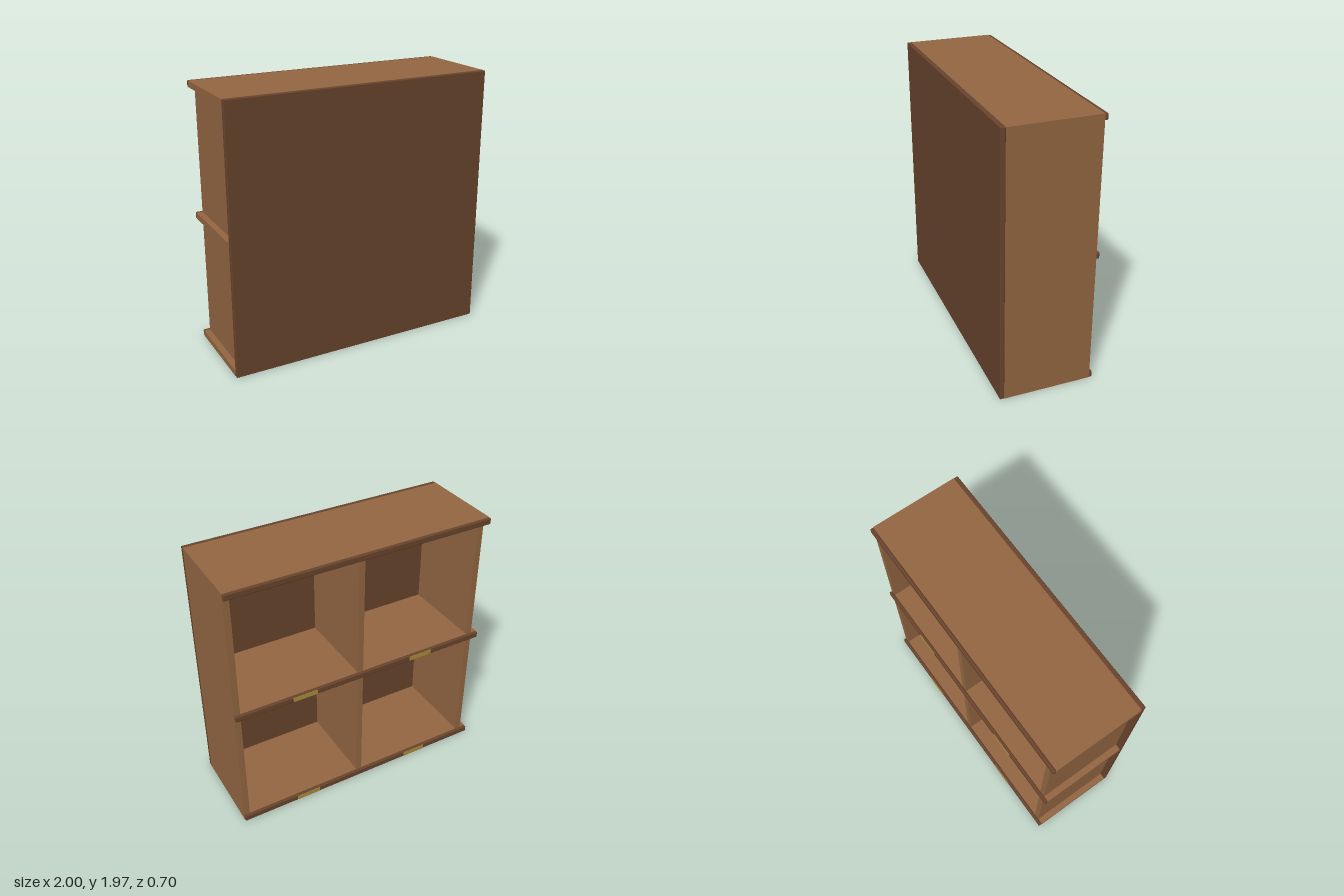
import * as THREE from 'three';
import { RoundedBoxGeometry } from 'three/addons/geometries/RoundedBoxGeometry.js';

const T = 0.045;          // board thickness
const H = 1.965;          // overall height
const PITCH_X = 0.955;    // spacing of the upright boards
const PITCH_Y = 0.96;     // spacing of the shelves
const Z0 = -0.323;        // open side of the boards
const Z1 = 0.318;         // closed side of the boards

const wood = new THREE.MeshStandardMaterial({ color: 0x946742 });
const darkWood = new THREE.MeshStandardMaterial({ color: 0x69442d });
const brass = new THREE.MeshStandardMaterial({ color: 0xa88c3a });

export function createModel() {
  const model = new THREE.Group();
  model.name = 'cubbyShelf';

  // Box between two corners, with eased edges when a radius is given
  const board = (name, material, [x0, y0, z0], [x1, y1, z1], radius = 0) => {
    const size = [x1 - x0, y1 - y0, z1 - z0];
    const geometry = radius
      ? new RoundedBoxGeometry(...size, 2, radius)
      : new THREE.BoxGeometry(...size);
    const mesh = new THREE.Mesh(geometry, material);
    mesh.name = name;
    mesh.position.set((x0 + x1) / 2, (y0 + y1) / 2, (z0 + z1) / 2);
    model.add(mesh);
  };

  // Closed panel across the front
  board('frontPanel', darkWood, [-1, 0, Z1], [1, H, 0.35], 0.005);

  // Full-height side on the model's left
  board('leftSide', wood, [1 - T, 0, Z0], [1, H, Z1]);

  // Shelves with an edge strip each, overhanging the right side board
  for (let row = 0; row < 3; row++) {
    const y = row * PITCH_Y;
    board('shelf', wood, [-1, y, Z0], [1 - T, y + T, Z1]);
    board('edgeStrip', darkWood, [-1, y, -0.346], [1, y + T, Z0], 0.007);
  }

  // Divider and inset right side, between the shelves
  for (let row = 0; row < 2; row++) {
    const y = row * PITCH_Y;
    ['divider', 'rightSide'].forEach((name, i) => {
      const x = 1 - (i + 1) * PITCH_X;
      board(name, wood, [x - T, y + T, Z0], [x, y + PITCH_Y, Z1]);
    });

    // Brass label plate under each compartment
    for (const x of [-0.475, 0.475]) {
      board('labelPlate', brass, [x - 0.093, y + 0.006, -0.35], [x + 0.093, y + T - 0.006, -0.345]);
    }
  }
  return model;
}
